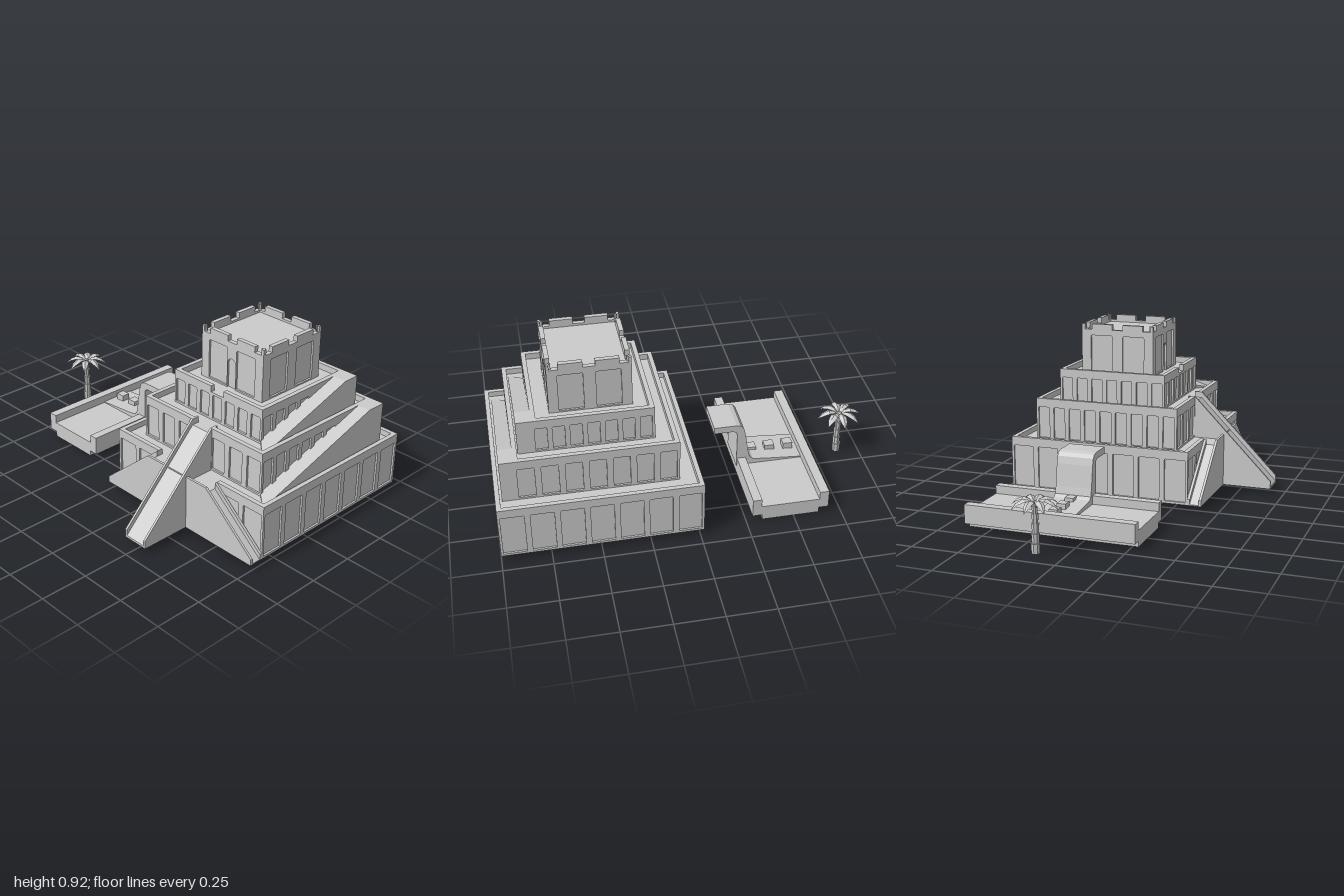
import * as THREE from 'three';
import { ConvexGeometry } from 'three/addons/geometries/ConvexGeometry.js';

const flat = new THREE.MeshStandardMaterial({ color: 0xcccccc, flatShading: true });
const leafy = new THREE.MeshStandardMaterial({ color: 0xcccccc, flatShading: true, side: THREE.DoubleSide });
const CX = 0.49; // temple centre in x

function add(parent, name, geometry, x = 0, y = 0, z = 0, material = flat) {
  const m = new THREE.Mesh(geometry, material);
  m.name = name;
  m.position.set(x, y, z);
  parent.add(m);
  return m;
}

const block = (parent, name, x0, x1, y0, y1, z0, z1) =>
  add(parent, name, new THREE.BoxGeometry(x1 - x0, y1 - y0, z1 - z0), (x0 + x1) / 2, (y0 + y1) / 2, (z0 + z1) / 2);

const outline = (pts) => new THREE.Shape(pts.map(([x, y]) => new THREE.Vector2(x, y)));
const extrude = (shape, depth) => new THREE.ExtrudeGeometry(shape, { depth, bevelEnabled: false, curveSegments: 6 });

// Wall slab: notches cut into its top edge, niches cut right through
function slab(w, y0, y1, depth, gaps, gapY, niches = [], n0 = 0, n1 = 0, door = null) {
  const pts = [[-w / 2, y0], [w / 2, y0], [w / 2, y1]];
  [...gaps].reverse().forEach(([a, b]) => pts.push([b, y1], [b, gapY], [a, gapY], [a, y1]));
  pts.push([-w / 2, y1]);
  const s = outline(pts);
  niches.forEach(([a, b]) => {
    const r = 0.004;
    s.holes.push(outline([[a, n0], [a, n1 - r], [a + r, n1], [b - r, n1], [b, n1 - r], [b, n0]]));
  });
  if (door) {
    const h = new THREE.Path();
    h.moveTo(-door.r, door.y0);
    h.lineTo(-door.r, door.y1 - door.r);
    h.absarc(0, door.y1 - door.r, door.r, Math.PI, 0, true);
    h.lineTo(door.r, door.y0);
    s.holes.push(h);
  }
  return extrude(s, depth);
}

// n evenly spaced niches along a wall
function spread(n, len, fill) {
  const edge = 0.013, w = (len - 2 * edge) / (n - 1 + fill);
  return Array.from({ length: n }, (_, i) => {
    const a = -len / 2 + edge + i * w;
    return [a, a + w * fill];
  });
}

// One storey: solid core, four niched walls and a parapet
function storey(root, t) {
  const g = new THREE.Group();
  g.name = t.name;
  g.position.set(CX, 0, (t.z0 + t.z1) / 2);
  root.add(g);
  const W = t.w, D = t.z1 - t.z0, skin = 0.01, rim = 0.014;
  add(g, 'core', new THREE.BoxGeometry(W - 2 * skin, t.floor - t.y0, D - 2 * skin), 0, (t.floor + t.y0) / 2, 0);
  for (let k = 0; k < 4; k++) {
    const side = new THREE.Group();
    side.name = ['frontWall', 'leftWall', 'backWall', 'rightWall'][k];
    side.rotation.y = k * Math.PI / 2;
    g.add(side);
    const len = k % 2 ? D : W, half = (k % 2 ? W : D) / 2;
    const gaps = t.merlonGaps || (k === 0 ? [[-t.gap, t.gap]] : []);
    const gapY = t.gapY || t.floor;
    const niches = t.niches || spread(k % 2 ? t.nSide : t.nFront, len, t.fill);
    add(side, 'nichedWall', slab(len, t.y0, t.y1, skin, gaps, gapY, niches, t.n0, t.n1, k === 0 ? t.door : null), 0, 0, half - skin);
    add(side, 'parapet', slab(len - 2 * skin, t.floor - 0.01, t.y1, rim, gaps, gapY), 0, 0, half - skin - rim);
  }
}

// Ramp along the left wall; its foot is cut obliquely to the wall corner
function sideRamp(root, x0, x1, y0, y1, corner, foot, top, back) {
  const pts = [];
  const v = (x, y, z) => pts.push(new THREE.Vector3(x, y, z));
  for (const [x, z] of [[x0, corner], [x1, foot]]) {
    v(x, y0, z);
    v(x, y0 + (y1 - y0) * (foot - z) / (foot - top), z);
    v(x, y1, top);
    v(x, y1, back);
    v(x, y0, back);
  }
  add(root, 'sideRamp', new ConvexGeometry(pts));
}

// Front flights rising from both corners to a landing, sunk between parapets
function frontFlights(root) {
  const profile = (low, high) => extrude(outline([[-0.51, 0.03], [0.51, 0.03], [0.51, low], [0.205, high], [-0.205, high], [-0.51, low]]), 1);
  for (const [name, low, high, z0, z1] of [
    ['flightTreads', 0.036, 0.29, 0.32, 0.405],
    ['flightOuterParapet', 0.064, 0.32, 0.398, 0.411],
  ]) add(root, name, profile(low, high), CX, 0, z0).scale.z = z1 - z0;
  for (const s of [-1, 1]) {
    const pts = [[s * 0.51, 0.03], [s * 0.51, 0.064], [s * 0.205, 0.32], [s * 0.205, 0.03]];
    add(root, 'flightInnerParapet', extrude(outline(pts), 0.014), CX, 0, 0.334);
  }
}

// Long central stair with side parapets, profile drawn in (z, y)
function mainStair(root) {
  const run = (name, x0, x1, low, high) => {
    const m = add(root, name, extrude(outline([[0.2, 0.03], [0.68, 0.03], [0.68, low], [0.24, high], [0.2, high]]), x1 - x0), x1, 0, 0);
    m.rotation.y = -Math.PI / 2;
  };
  run('stairTreads', CX - 0.066, CX + 0.066, 0.042, 0.49);
  for (const s of [-1, 1]) run('stairParapet', CX + s * 0.066 - 0.006, CX + s * 0.066 + 0.006, 0.073, 0.522);
}

// Canal trough with a curved overhanging spillway and three blocks
function canal(root) {
  const g = new THREE.Group();
  g.name = 'canal';
  root.add(g);
  const trough = [[-0.635, 0], [-0.335, 0], [-0.335, 0.03], [-0.283, 0.03], [-0.283, 0.13], [-0.33, 0.13],
    [-0.33, 0.085], [-0.636, 0.085], [-0.636, 0.13], [-0.685, 0.13], [-0.685, 0.03], [-0.635, 0.03]];
  add(g, 'trough', extrude(outline(trough), 0.91), 0, 0, -0.63);
  const spill = [[-0.636, 0.08], [-0.28, 0.08], [-0.28, 0.285], [-0.274, 0.302], [-0.258, 0.31], [-0.155, 0.31],
    [-0.155, 0.347], [-0.275, 0.347], [-0.3, 0.34], [-0.315, 0.322], [-0.325, 0.285], [-0.343, 0.17],
    [-0.352, 0.13], [-0.37, 0.115], [-0.43, 0.107], [-0.636, 0.09]];
  add(g, 'spillway', extrude(outline(spill), 0.198), 0, 0, -0.277);
  for (const x of [-0.583, -0.481, -0.38]) block(g, 'steppingBlock', x - 0.026, x + 0.026, 0.085, 0.13, -0.202, -0.155);
}

function palm(root) {
  const g = new THREE.Group();
  g.name = 'palmTree';
  g.position.set(-0.88, 0, -0.15);
  root.add(g);
  // Trunk of flared segments
  for (let i = 0; i < 5; i++) {
    const r = 0.024 - i * 0.002;
    add(g, 'trunkSegment', new THREE.CylinderGeometry(r, r - 0.003, 0.05, 8), 0.003 * Math.sin(i), 0.025 + i * 0.049, 0);
  }
  add(g, 'crown', new THREE.IcosahedronGeometry(0.022, 0), 0, 0.24, 0);
  // Arched, folded fronds from (reach, height, half width)
  const rows = [[0.005, 0.24, 0.006], [0.03, 0.268, 0.013], [0.058, 0.276, 0.021], [0.09, 0.262, 0.017], [0.121, 0.23, 0.001]];
  const pos = [], idx = [];
  rows.forEach(([r, y, w], i) => {
    pos.push(r, y - w * 0.5, -w, r, y, 0, r, y - w * 0.5, w);
    if (i) for (const j of [0, 1]) {
      const a = (i - 1) * 3 + j;
      idx.push(a, a + 1, a + 3, a + 1, a + 4, a + 3);
    }
  });
  const frond = new THREE.BufferGeometry();
  frond.setAttribute('position', new THREE.Float32BufferAttribute(pos, 3));
  frond.setIndex(idx);
  frond.computeVertexNormals();
  for (let i = 0; i < 8; i++) add(g, 'frond', frond, 0, 0, 0, leafy).rotation.y = i * Math.PI / 4;
}

export function createModel() {
  const root = new THREE.Group();
  root.name = 'steppedTemple';
  storey(root, { name: 'lowerStorey', w: 1.02, z0: -0.68, z1: 0.335, y0: 0.03, y1: 0.32, floor: 0.29,
    nFront: 7, nSide: 7, fill: 0.8, n0: 0.043, n1: 0.272, gap: 0.205 });
  storey(root, { name: 'middleStorey', w: 0.81, z0: -0.575, z1: 0.24, y0: 0.28, y1: 0.522, floor: 0.49,
    nFront: 7, nSide: 9, fill: 0.72, n0: 0.3, n1: 0.474, gap: 0.06 });
  storey(root, { name: 'upperStorey', w: 0.6, z0: -0.475, z1: 0.135, y0: 0.48, y1: 0.675, floor: 0.642,
    nFront: 7, nSide: 7, fill: 0.7, n0: 0.5, n1: 0.628, gap: 0.042 });
  storey(root, { name: 'tower', w: 0.412, z0: -0.38, z1: 0.038, y0: 0.63, y1: 0.92, floor: 0.878, gapY: 0.89,
    niches: [[-0.155, -0.031], [0.031, 0.155]], n0: 0.65, n1: 0.857,
    merlonGaps: [[-0.192, -0.148], [-0.03, 0.03], [0.148, 0.192]], door: { r: 0.027, y0: 0.642, y1: 0.802 } });
  sideRamp(root, 0.885, 0.966, 0.285, 0.522, 0.235, 0.3, -0.465, -0.575);
  sideRamp(root, 0.78, 0.866, 0.485, 0.675, 0.13, 0.21, -0.385, -0.475);
  frontFlights(root);
  mainStair(root);
  canal(root);
  palm(root);
  return root;
}
